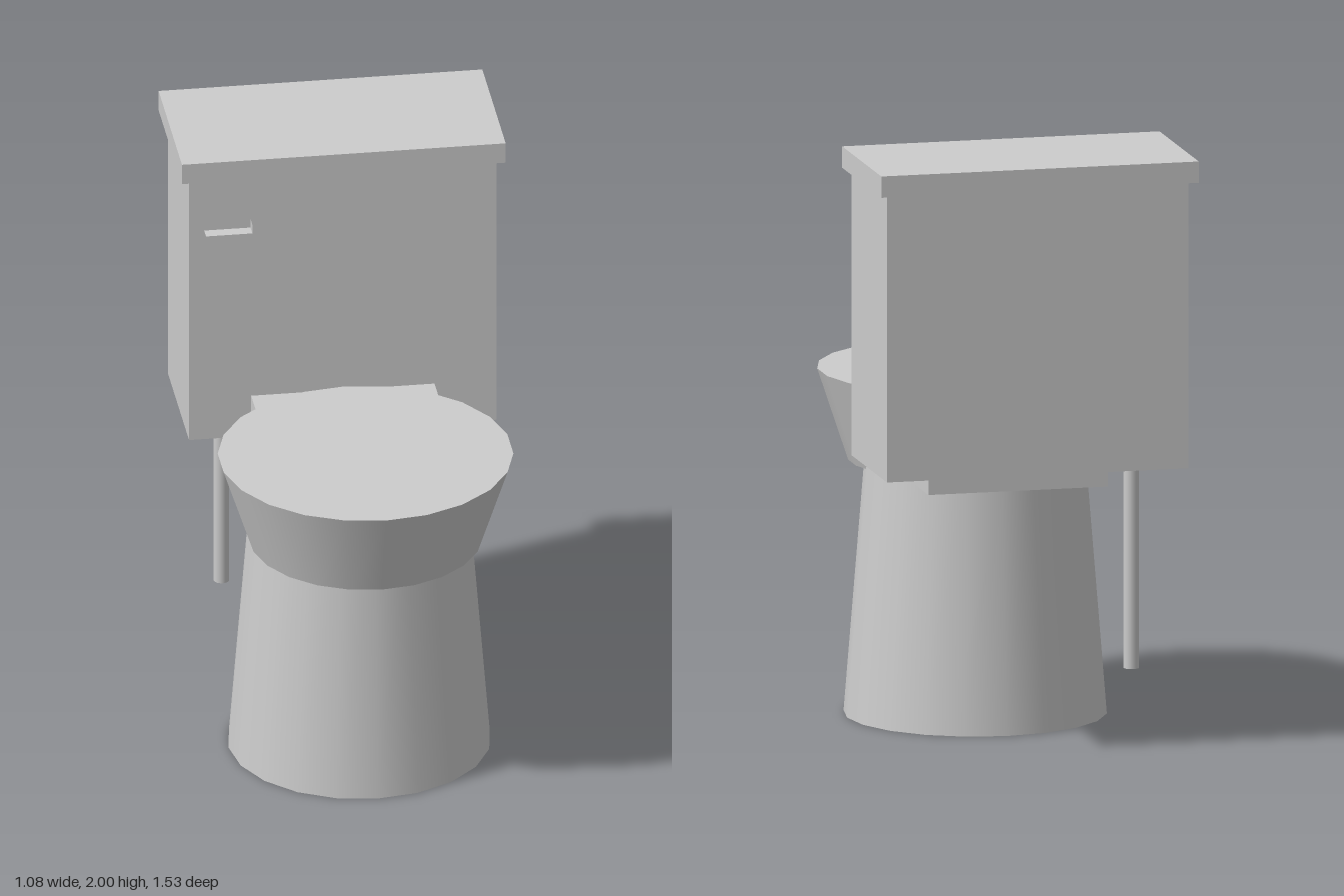
import * as THREE from 'three';

export function createModel() {
  const model = new THREE.Group();
  model.name = 'toilet';
  const porcelain = new THREE.MeshStandardMaterial({ color: 0xcccccc });
  porcelain.name = 'porcelain grey';

  const add = (name, geometry, x, y, z) => {
    const mesh = new THREE.Mesh(geometry, porcelain);
    mesh.name = name;
    mesh.position.set(x, y, z);
    model.add(mesh);
  };
  // box between two corners
  const box = (name, [x0, y0, z0], [x1, y1, z1]) =>
    add(name, new THREE.BoxGeometry(x1 - x0, y1 - y0, z1 - z0),
      (x0 + x1) / 2, (y0 + y1) / 2, (z0 + z1) / 2);
  // upright tapered cylinder from y0 to y1
  const cone = (name, rTop, rBottom, y0, y1, x, z, sides) =>
    add(name, new THREE.CylinderGeometry(rTop, rBottom, y1 - y0, sides), x, (y0 + y1) / 2, z);

  // bowl and its foot
  cone('pedestal', 0.362, 0.4375, 0, 0.932, 0, 0.125, 20);
  cone('bowl', 0.49, 0.387, 0.83, 1.14, 0, 0.275, 22);

  // block joining the bowl to the tank
  box('connector', [-0.307, 0.857, -0.467], [0.307, 1.11, 0.05]);

  // water tank
  box('tank', [-0.515, 0.96, -0.737], [0.515, 1.93, -0.25]);
  box('tankLid', [-0.542, 1.928, -0.767], [0.542, 2, -0.227]);
  box('flushHandle', [-0.465, 1.74, -0.202], [-0.31, 1.773, -0.245]);

  // supply pipe under the tank
  cone('supplyPipe', 0.026, 0.026, 0.263, 0.97, -0.36, -0.573, 16);

  return model;
}
